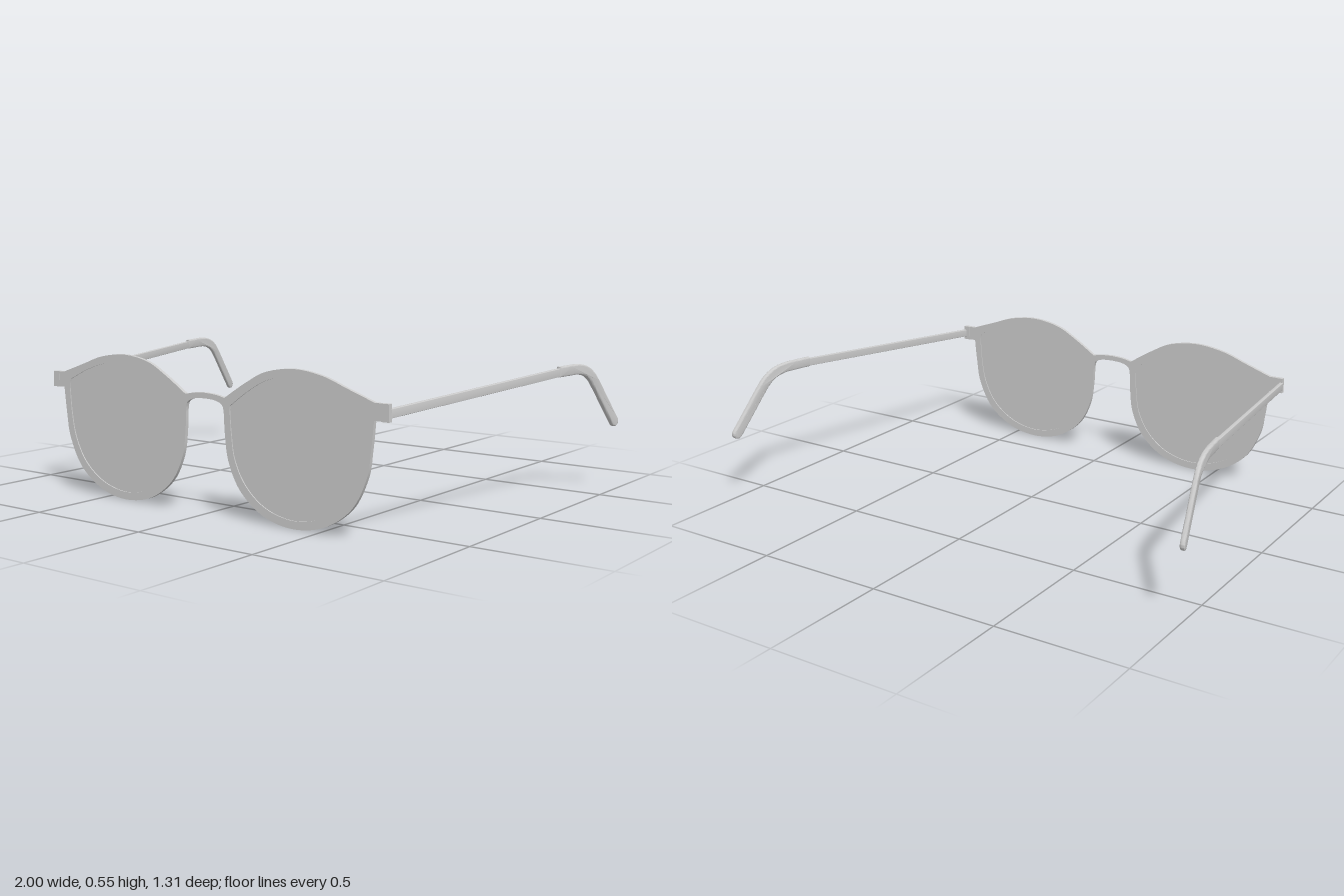
import * as THREE from 'three';
import { toCreasedNormals } from 'three/addons/utils/BufferGeometryUtils.js';

const material = new THREE.MeshStandardMaterial({ color: 0xcccccc, side: THREE.DoubleSide });
const FRONT_Z = 0.648;

const vectors = (pts) => pts.map(([x, y]) => new THREE.Vector2(x, y));
const spline = (pts, n = 40) => new THREE.SplineCurve(vectors(pts)).getPoints(n);
const mirrored = (pts, side) => pts.map((p) => new THREE.Vector2(side * p.x, p.y));

function addMesh(parent, name, geometry) {
  const mesh = new THREE.Mesh(toCreasedNormals(geometry, 0.6), material);
  mesh.name = name;
  parent.add(mesh);
  return mesh;
}

// Flat plate cut from a shape, centred on the front plane
function plate(shape, depth) {
  const geometry = new THREE.ExtrudeGeometry(shape, { depth, bevelEnabled: false });
  return geometry.translate(0, 0, FRONT_Z - depth / 2);
}

// Half of the front outline: bridge top, brow, end piece, rim, bridge underside
function halfOutline() {
  return [
    ...spline([[0, 0.445], [0.05, 0.442], [0.092, 0.434]], 8),
    ...spline([[0.092, 0.434], [0.19, 0.495], [0.28, 0.539], [0.4, 0.557],
      [0.52, 0.542], [0.62, 0.508], [0.73, 0.47]]),
    ...vectors([[0.78, 0.47], [0.78, 0.411]]),
    ...spline([[0.728, 0.411], [0.717, 0.31], [0.7, 0.215], [0.64, 0.105], [0.53, 0.03],
      [0.4, 0.005], [0.27, 0.03], [0.165, 0.105], [0.11, 0.205], [0.094, 0.3], [0.09, 0.375]], 80),
    ...spline([[0.09, 0.375], [0.082, 0.406], [0.05, 0.421], [0, 0.425]], 16),
  ];
}

// Lens opening, inset from the rim
function lensOutline() {
  return [
    ...spline([[0.118, 0.408], [0.2, 0.466], [0.29, 0.512], [0.4, 0.528],
      [0.52, 0.513], [0.61, 0.483], [0.69, 0.445]]),
    ...spline([[0.698, 0.42], [0.689, 0.31], [0.668, 0.215], [0.615, 0.125], [0.52, 0.059],
      [0.4, 0.034], [0.28, 0.059], [0.19, 0.125], [0.138, 0.215], [0.122, 0.31], [0.116, 0.395]], 80),
  ];
}

// Side-view strip of constant half height around a centre line, optionally round-ended
function strip(line, half, roundEnd) {
  const upper = [], lower = [];
  line.forEach((p, i) => {
    const a = line[Math.max(i - 1, 0)], b = line[Math.min(i + 1, line.length - 1)];
    const t = b.clone().sub(a).normalize();
    const n = new THREE.Vector2(-t.y, t.x).multiplyScalar(half);
    upper.push(p.clone().add(n));
    lower.push(p.clone().sub(n));
    if (roundEnd && i === line.length - 1) {
      for (let k = 1; k < 12; k++) {
        const angle = (k / 12) * Math.PI;
        upper.push(p.clone().addScaledVector(n, Math.cos(angle)).addScaledVector(t, half * Math.sin(angle)));
      }
    }
  });
  return new THREE.Shape([...upper, ...lower.reverse()]);
}

// Extrudes a side-view strip and leans it outwards towards the back
function templePart(shape, width, bevel, side) {
  const geometry = new THREE.ExtrudeGeometry(shape, {
    depth: width - 2 * bevel, bevelEnabled: true, bevelThickness: bevel,
    bevelSize: bevel, bevelOffset: -bevel, bevelSegments: 3,
  });
  geometry.translate(0, 0, bevel - width / 2).rotateY(Math.PI / 2);
  const pos = geometry.attributes.position;
  for (let i = 0; i < pos.count; i++) {
    const z = pos.getZ(i);
    const lean = 0.781 + 0.156 * (0.64 - z) + 0.05 * Math.max(0, -0.48 - z);
    pos.setX(i, pos.getX(i) + side * lean);
  }
  return geometry;
}

export function createModel() {
  const model = new THREE.Group();
  model.name = 'glasses';

  // Front frame with two lens openings
  const half = halfOutline();
  const outline = [...half, ...mirrored(half, -1).reverse()];
  const clean = outline.filter((p, i) => p.distanceTo(outline[(i + 1) % outline.length]) > 1e-5);
  const frame = new THREE.Shape(clean);
  const lens = lensOutline();
  for (const side of [1, -1]) frame.holes.push(new THREE.Path(mirrored(lens, side)));
  addMesh(model, 'frontFrame', plate(frame, 0.014));

  // Side-view centre lines, running backwards
  const armLine = vectors([[-0.643, 0.438], [0.29, 0.496]]);
  const tipLine = spline([[0.27, 0.497], [0.33, 0.498], [0.39, 0.498], [0.44, 0.488],
    [0.48, 0.465], [0.514, 0.428], [0.575, 0.351], [0.635, 0.275]], 48);

  for (const side of [1, -1]) {
    const label = side > 0 ? 'left' : 'right';
    addMesh(model, label + 'Lens', plate(new THREE.Shape(mirrored(lens, side)), 0.006));

    // End block joining frame and temple
    const hinge = addMesh(model, label + 'Hinge', new THREE.BoxGeometry(0.03, 0.06, 0.018));
    hinge.position.set(side * 0.771, 0.44, FRONT_Z - 0.001);

    // Temple: slim arm and thicker curved ear tip
    const temple = new THREE.Group();
    temple.name = label + 'Temple';
    addMesh(temple, label + 'Arm', templePart(strip(armLine, 0.0155, false), 0.015, 0.002, side));
    addMesh(temple, label + 'EarTip', templePart(strip(tipLine, 0.02, true), 0.019, 0.006, side));
    model.add(temple);
  }
  return model;
}
